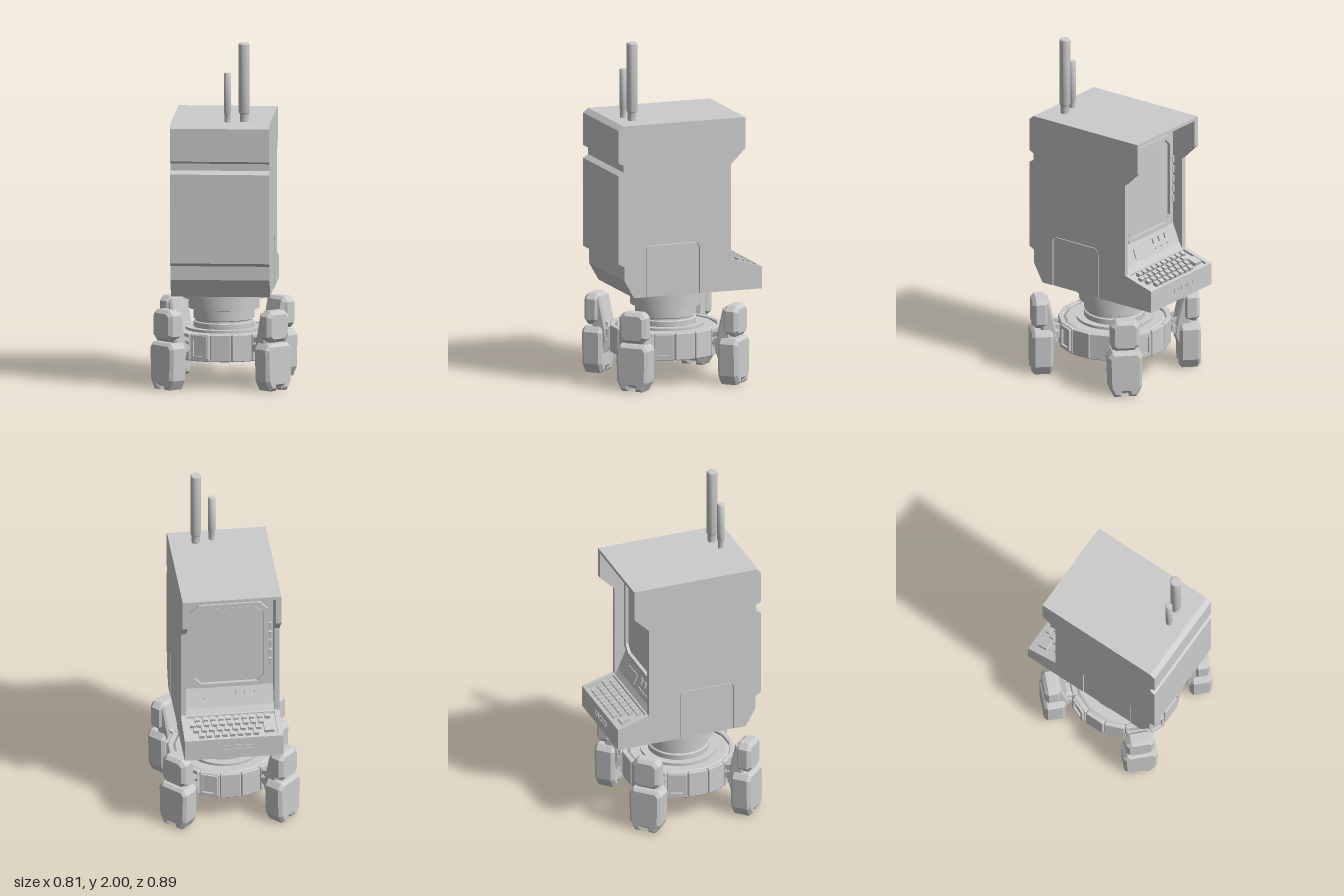
import * as THREE from 'three';
import { toCreasedNormals } from 'three/addons/utils/BufferGeometryUtils.js';

const material = new THREE.MeshStandardMaterial({ color: 0xcccccc });

function add(parent, name, geometry, x = 0, y = 0, z = 0) {
  const mesh = new THREE.Mesh(geometry, material);
  mesh.name = name;
  mesh.position.set(x, y, z);
  parent.add(mesh);
  return mesh;
}

const box = (w, h, d) => new THREE.BoxGeometry(w, h, d);
const toShape = pts => new THREE.Shape(pts.map(p => new THREE.Vector2(...p)));

// Extrudes a (z, y) side profile across x, centred on x = 0
function sideProfile(pts, width, bevel = 0) {
  const geo = new THREE.ExtrudeGeometry(toShape(pts), {
    depth: width - 2 * bevel, bevelEnabled: bevel > 0, bevelSegments: 1,
    bevelSize: bevel, bevelThickness: bevel, bevelOffset: -bevel,
  });
  geo.rotateY(-Math.PI / 2);
  return geo.translate(width / 2 - bevel, 0, 0);
}

// Extrudes an (x, y) outline from z0 to z1 with chamfered edges
function plate(shape, z0, z1, bevel = 0) {
  const geo = new THREE.ExtrudeGeometry(shape, {
    depth: z1 - z0 - 2 * bevel, bevelEnabled: bevel > 0, bevelSegments: 1,
    bevelSize: bevel, bevelThickness: bevel, bevelOffset: -bevel,
  });
  return geo.translate(0, 0, z0 + bevel);
}

// Rectangle with cut corners
function cutRect(x0, x1, y0, y1, c) {
  return [[x0 + c, y0], [x1 - c, y0], [x1, y0 + c], [x1, y1 - c],
    [x1 - c, y1], [x0 + c, y1], [x0, y1 - c], [x0, y0 + c]];
}

// Rounded-top hatch outline in (z, y), grown by g
function hatchOutline(g) {
  const pts = [[-0.06 - g, 0.535]];
  for (let i = 0; i <= 4; i++) {
    const a = Math.PI - i * Math.PI / 8;
    pts.push([-0.03 + (0.03 + g) * Math.cos(a), 0.805 + (0.03 + g) * Math.sin(a)]);
  }
  for (let i = 0; i <= 4; i++) {
    const a = Math.PI / 2 - i * Math.PI / 8;
    pts.push([0.235 + (0.03 + g) * Math.cos(a), 0.805 + (0.03 + g) * Math.sin(a)]);
  }
  pts.push([0.265 + g, 0.535]);
  return pts;
}

function buildCabinet() {
  const cabinet = new THREE.Group();
  cabinet.name = 'cabinet';
  const front = [[0.34, 0.535], [0.4, 0.64], [0.4, 0.72], [0.435, 0.74], [0.435, 1.255],
    [0.405, 1.275], [0.405, 1.315], [0.435, 1.33], [0.435, 1.52], [0.405, 1.545], [-0.345, 1.545]];
  const back = [[-0.345, 1.365], [-0.255, 1.275], [-0.255, 0.72], [-0.445, 0.665], [-0.445, 0.535]];

  // Core with the screen recess, hood and sunken keyboard tray
  const recess = [[-0.345, 1.525], [-0.19, 1.45], [-0.19, 0.86], [-0.235, 0.75], [-0.255, 0.72],
    [-0.265, 0.717], [-0.265, 0.704], [-0.43, 0.656], [-0.43, 0.669], [-0.445, 0.665], [-0.445, 0.535]];
  add(cabinet, 'cabinetCore', sideProfile([...front, ...recess], 0.51));

  // Side walls with inset hatches
  for (const s of [-1, 1]) {
    add(cabinet, 'sideWall', sideProfile([...front, ...back, ...hatchOutline(0.003)], 0.03), s * 0.27);
    add(cabinet, 'sideHatch', sideProfile(hatchOutline(-0.002), 0.027), s * 0.2685);
  }

  // Screen frame, glass and buttons
  const frame = toShape(cutRect(-0.225, 0.225, 0.87, 1.43, 0.05));
  frame.holes.push(new THREE.Path(cutRect(-0.2, 0.2, 0.895, 1.405, 0.04).map(p => new THREE.Vector2(...p))));
  add(cabinet, 'screenFrame', plate(frame, -0.21, -0.188));
  add(cabinet, 'screenGlass', plate(toShape(cutRect(-0.19, 0.19, 0.905, 1.395, 0.035)), -0.196, -0.188));
  for (let i = 0; i < 5; i++) add(cabinet, 'screenButton', box(0.016, 0.04, 0.02), -0.24, 1.02 + i * 0.06, -0.195);

  // Sloped control strip below the screen
  const strip = new THREE.Group();
  strip.name = 'controlStrip';
  strip.position.set(0, 0.805, -0.2125);
  strip.rotation.x = Math.atan2(0.045, 0.11);
  cabinet.add(strip);
  add(strip, 'controlPanel', box(0.13, 0.06, 0.012), 0.08, -0.01, 0);
  for (let i = 0; i < 3; i++) {
    add(strip, 'controlSwitch', box(0.03, 0.03, 0.018), -0.05 - i * 0.055, 0.015, 0);
    add(strip, 'controlSlot', box(0.04, 0.01, 0.014), -0.06 - i * 0.055, -0.03, 0);
  }

  // Keyboard
  const keys = new THREE.Group();
  keys.name = 'keyboard';
  cabinet.add(keys);
  const slope = Math.atan2(0.048, 0.165);
  const key = (x, z, w, d) => {
    add(keys, 'key', box(w, 0.03, d), x, 0.704 + (z + 0.265) * 0.29 + 0.006, z).rotation.x = -slope;
  };
  [[-0.405, -0.131, 8], [-0.365, -0.15, 9], [-0.327, -0.17, 9], [-0.29, -0.21, 10]].forEach(([z, x0, n]) => {
    for (let i = 0; i < n; i++) key(x0 + i * 0.045, z, 0.03, 0.027);
  });
  key(-0.21, -0.375, 0.058, 0.06);
  key(0.225, -0.327, 0.03, 0.027);

  // Ports on the keyboard edge
  for (let i = 0; i < 3; i++) {
    const ring = toShape(cutRect(-0.026, 0.026, -0.016, 0.016, 0.004));
    ring.holes.push(new THREE.Path(cutRect(-0.019, 0.019, -0.009, 0.009, 0.002).map(p => new THREE.Vector2(...p))));
    add(cabinet, 'port', plate(ring, -0.449, -0.44), 0.045 - i * 0.065, 0.605, 0);
  }
  return cabinet;
}

function buildAntenna(x, z, r, top) {
  const pts = [[0, 1.54], [r * 0.8, 1.54], [r * 0.8, 1.59], [r, 1.6], [r, top - 0.006], [r * 0.85, top], [0, top]];
  const geo = new THREE.LatheGeometry(pts.map(p => new THREE.Vector2(...p)), 20);
  const antenna = new THREE.Group();
  antenna.name = 'antenna';
  add(antenna, 'antennaRod', toCreasedNormals(geo, 0.6), x, 0, z);
  return antenna;
}

function buildBase() {
  const base = new THREE.Group();
  base.name = 'base';
  // Swivel neck and drum
  const neck = [[0, 0.305], [0.22, 0.305], [0.22, 0.325], [0.175, 0.325], [0.175, 0.355], [0.165, 0.36],
    [0.165, 0.37], [0.175, 0.375], [0.175, 0.43], [0.205, 0.435], [0.205, 0.49], [0.235, 0.495],
    [0.235, 0.515], [0.25, 0.515], [0.25, 0.54], [0, 0.54]];
  add(base, 'neck', toCreasedNormals(new THREE.LatheGeometry(neck.map(p => new THREE.Vector2(...p)), 48), 0.5));
  const drum = [[0, 0.155], [0.285, 0.155], [0.298, 0.17], [0.298, 0.295], [0.28, 0.31], [0, 0.31]];
  add(base, 'drum', toCreasedNormals(new THREE.LatheGeometry(drum.map(p => new THREE.Vector2(...p)), 16, Math.PI / 16), 0.3));

  // Ring of armour panels, every fourth one framed
  for (let i = 0; i < 16; i++) {
    const panel = new THREE.Group();
    panel.name = 'ringPanel';
    panel.rotation.y = i * Math.PI / 8;
    base.add(panel);
    add(panel, 'panelPlate', plate(toShape(cutRect(-0.059, 0.059, 0.158, 0.315, 0.006)), 0.29, 0.319, 0.004));
    if (i % 4 === 3) {
      const rim = toShape(cutRect(-0.052, 0.052, 0.17, 0.308, 0.006));
      rim.holes.push(new THREE.Path(cutRect(-0.035, 0.035, 0.19, 0.288, 0.004).map(p => new THREE.Vector2(...p))));
      add(panel, 'panelFrame', plate(rim, 0.315, 0.332));
    }
  }
  return base;
}

// Leg pointing along +z, measured from the base axis
function buildLeg() {
  const leg = new THREE.Group();
  leg.name = 'leg';
  add(leg, 'legCore', sideProfile([[0.335, 0.2], [0.35, 0.29], [0.385, 0.445], [0.43, 0.445],
    [0.44, 0.05], [0.4, 0.03], [0.37, 0.1]], 0.14, 0.012));
  add(leg, 'kneeBlock', plate(toShape(cutRect(-0.083, 0.083, 0.28, 0.46, 0.03)), 0.39, 0.482, 0.02));
  const foot = [[-0.065, 0], [-0.022, 0], [-0.018, 0.022], [0.018, 0.022], [0.022, 0], [0.065, 0],
    [0.095, 0.055], [0.1, 0.24], [0.075, 0.272], [-0.075, 0.272], [-0.1, 0.24], [-0.095, 0.055]];
  add(leg, 'foot', plate(toShape(foot), 0.365, 0.488, 0.017));

  // Hinge between drum and leg
  add(leg, 'hingeArm', box(0.07, 0.05, 0.1), 0, 0.235, 0.33);
  const pin = new THREE.CylinderGeometry(0.025, 0.025, 0.13, 12).rotateZ(Math.PI / 2);
  add(leg, 'hingePin', toCreasedNormals(pin, 0.6), 0, 0.235, 0.345);
  for (const s of [-1, 1]) add(leg, 'strut', box(0.022, 0.025, 0.09), s * 0.045, 0.285, 0.335).rotation.x = -0.3;
  return leg;
}

export function createModel() {
  const model = new THREE.Group();
  model.name = 'walkingTerminal';
  model.add(buildCabinet());
  model.add(buildAntenna(0.132, 0.295, 0.031, 2));
  model.add(buildAntenna(0.038, 0.313, 0.021, 1.83));

  // Walking base, set slightly forward
  const walker = new THREE.Group();
  walker.name = 'walker';
  walker.position.z = 0.037;
  walker.add(buildBase());
  for (let i = 0; i < 4; i++) {
    const leg = buildLeg();
    leg.rotation.y = Math.PI / 4 + i * Math.PI / 2;
    walker.add(leg);
  }
  model.add(walker);
  return model;
}
